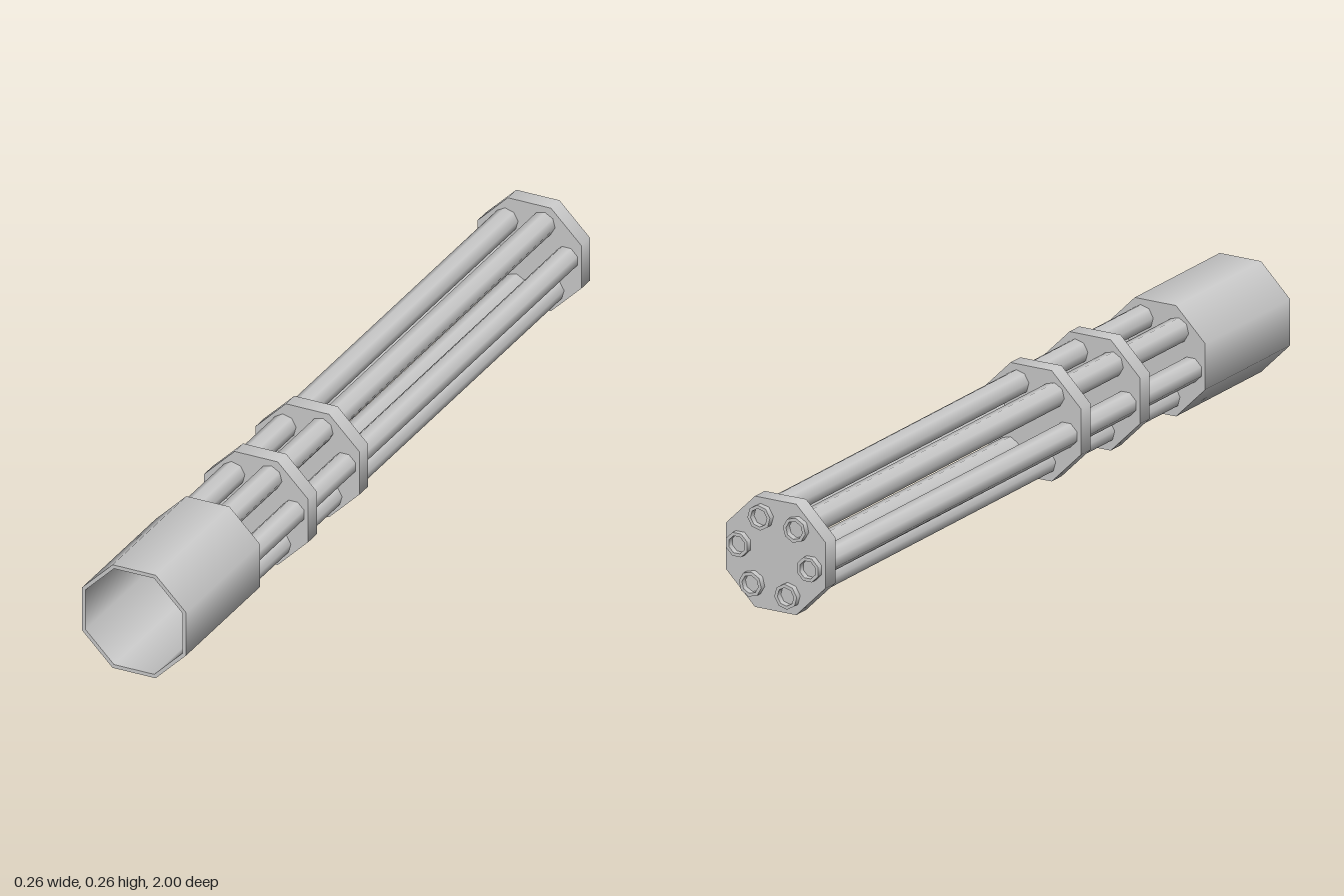
import * as THREE from 'three';
import { mergeGeometries } from 'three/addons/utils/BufferGeometryUtils.js';

const material = new THREE.MeshStandardMaterial({ color: 0xcccccc });
const SIDES = 8;
const APOTHEM_TO_RADIUS = 1 / Math.cos(Math.PI / SIDES);
const AXIS_Y = 0.131;

// Octagonal solid of revolution along z; profile is [apothem, z] points.
// Each profile edge is its own strip, so corners of the profile stay sharp.
function turned(name, profile) {
  const strips = [];
  for (let i = 0; i < profile.length - 1; i++) {
    const pts = [profile[i], profile[i + 1]].map(
      ([r, z]) => new THREE.Vector2(r * APOTHEM_TO_RADIUS, z));
    strips.push(new THREE.LatheGeometry(pts, SIDES, Math.PI / SIDES));
  }
  const geometry = mergeGeometries(strips);
  geometry.rotateX(Math.PI / 2);
  const mesh = new THREE.Mesh(geometry, material);
  mesh.name = name;
  return mesh;
}

export function createModel() {
  const model = new THREE.Group();
  model.name = 'rotaryBarrelAssembly';
  const assembly = new THREE.Group();
  assembly.name = 'barrelCluster';
  assembly.position.y = AXIS_Y;
  model.add(assembly);

  // Open-fronted housing with a closed floor
  assembly.add(turned('housing', [
    [0, 0.637], [0.131, 0.637], [0.131, 1], [0.122, 1], [0.122, 0.65], [0, 0.65],
  ]));

  // Solid clamp plates that the barrels pass through
  [['frontClamp', 0.358, 0.4], ['middleClamp', 0.106, 0.148], ['muzzleClamp', -0.985, -0.943]]
    .forEach(([name, z0, z1]) => {
      assembly.add(turned(name, [[0, z0], [0.131, z0], [0.131, z1], [0, z1]]));
    });

  // Six hollow barrels in a ring
  for (let i = 0; i < 6; i++) {
    const turn = (i * Math.PI) / 3;
    const angle = turn + THREE.MathUtils.degToRad(8);
    const barrel = turned('barrel' + (i + 1), [
      [0.02, -1], [0.0275, -1], [0.0275, 0.66], [0.02, 0.66], [0.02, -1],
    ]);
    barrel.position.set(0.094 * Math.cos(angle), 0.094 * Math.sin(angle), 0);
    barrel.rotation.z = turn;
    assembly.add(barrel);
  }
  return model;
}
